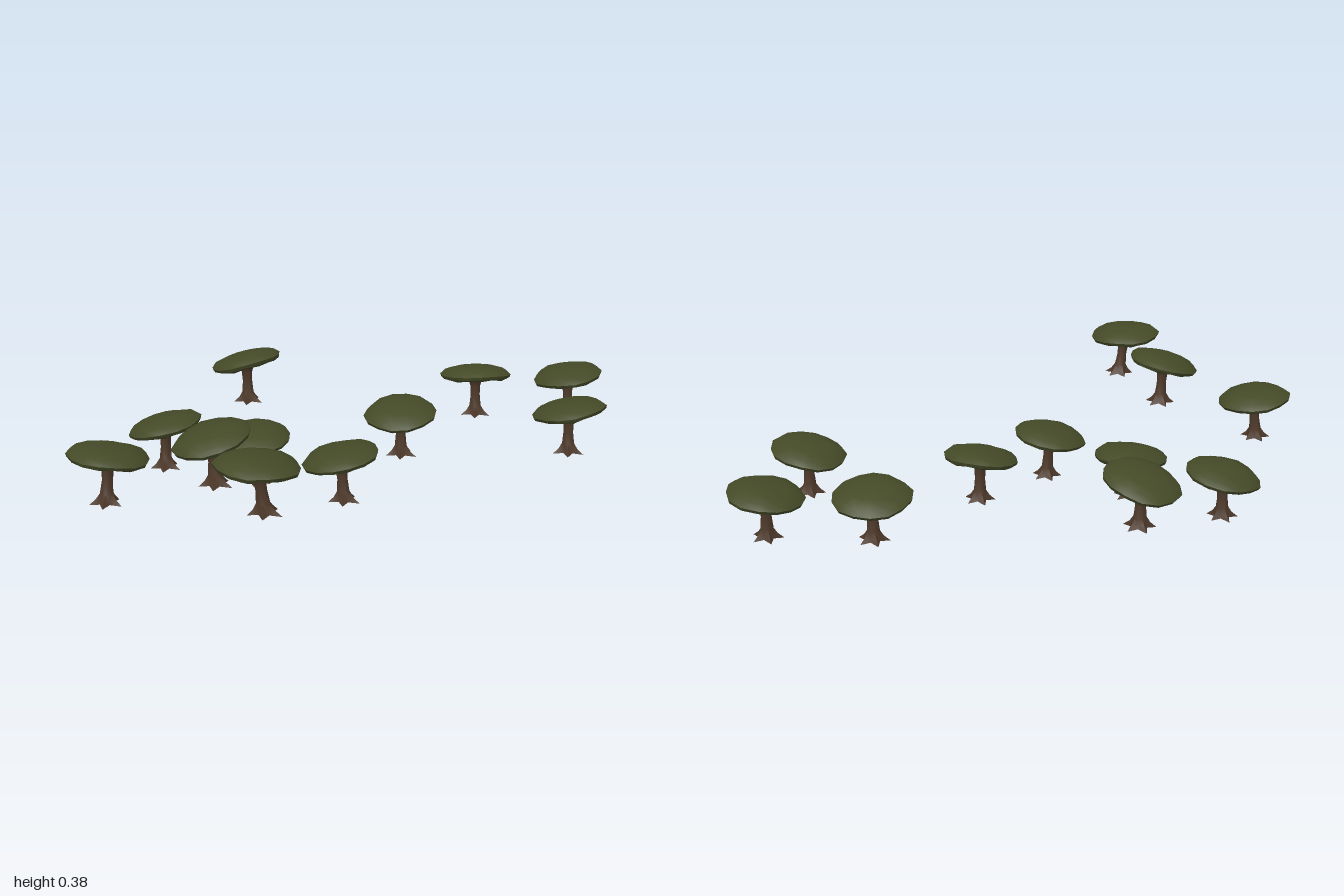
import * as THREE from 'three';
import { mergeVertices, toCreasedNormals } from 'three/addons/utils/BufferGeometryUtils.js';

const leaf = new THREE.MeshStandardMaterial({ color: 0x444a27 });
leaf.name = 'moss green';
const bark = new THREE.MeshStandardMaterial({ color: 0x4f3a2b });
bark.name = 'bark brown';

// Lathe whose vertices are then moved by a rule(point, ring, spoke, angle)
function shapedLathe(profile, segments, crease, rule) {
  const g = new THREE.LatheGeometry(profile.map(p => new THREE.Vector2(...p)), segments);
  const pos = g.attributes.position;
  const p = new THREE.Vector3();
  for (let i = 0; i < pos.count; i++) {
    const ring = i % profile.length;
    const spoke = Math.floor(i / profile.length) % segments;
    p.fromBufferAttribute(pos, i);
    rule(p, ring, spoke, spoke / segments * Math.PI * 2);
    pos.setXYZ(i, p.x, p.y, p.z);
  }
  g.deleteAttribute('uv');
  g.deleteAttribute('normal');
  const merged = mergeVertices(g, 1e-5);
  merged.computeVertexNormals();
  return toCreasedNormals(merged, crease);
}

// Broad flattened canopy: ribbed hollow below, shallow dome above
const capProfile = [
  [0, 0], [0.03, -0.002], [0.065, -0.002], [0.1, -0.017], [0.119, -0.008],
  [0.123, 0.002], [0.106, 0.018], [0.065, 0.03], [0, 0.035],
];
const capGeometry = shapedLathe(capProfile, 14, 0.8, (p, ring, spoke, a) => {
  const wobble = 1 + 0.02 * Math.sin(2 * a + 1) + 0.02 * Math.sin(5 * a);
  p.x *= wobble;
  p.z *= wobble;
  if ((ring === 2 || ring === 1) && spoke % 2) p.y -= 0.01;
  if (ring === 3 && spoke % 2) p.y += 0.004;
  if (ring > 2 && ring < 7) p.y += 0.002 * Math.sin(3 * a + 2);
});

// Trunk with five spreading roots and a flared crown
const trunkProfile = [
  [0, 0.004], [0.026, 0], [0.022, 0.012], [0.019, 0.03],
  [0.0165, 0.07], [0.0185, 0.105], [0.025, 0.125], [0.04, 0.142],
];
const rootSpread = [1, 1.95, 1.5, 1.12, 1, 1, 1, 1];
function trunkGeometry(dx, dz) {
  return shapedLathe(trunkProfile, 10, 1.0, (p, ring, spoke, a) => {
    if (spoke % 2) {
      const s = rootSpread[ring] + (ring === 1 ? 0.15 * Math.sin(2 * a) : 0);
      p.x *= s;
      p.z *= s;
      if (ring === 1) p.y -= 0.005;
    }
    // Bend the foot away from the canopy centre
    const t = 1 - p.y / 0.142;
    p.x += dx * t;
    p.z += dz * t;
  });
}

// x, z, ground height, canopy slope along x and z, foot offset x and z
const trees = [
  [-0.14, -0.573, 0.122, 0.146, 0.25, 0.005, 0],
  [-0.53, -0.385, 0.012, 0.17, 0.15, -0.005, 0.005],
  [-0.33, -0.125, 0.015, 0.1, -0.05, 0, 0.012],
  [-0.875, 0.01, 0.1, -0.14, 0, -0.015, 0.005],
  [-0.64, 0.245, 0.19, 0.25, 0.06, 0.01, 0],
  [-0.64, 0.55, 0.21, -0.08, 0, 0.022, 0],
  [-0.165, 0.16, 0.012, 0.17, 0.09, 0.01, 0.005],
  [0.16, -0.02, 0.047, 0.15, -0.08, 0.005, 0],
  [0.59, -0.22, 0.057, -0.08, 0.17, 0, 0.005],
  [0.88, -0.065, 0.05, 0.14, 0.1, 0, 0.012],
  [0.66, 0.24, 0.05, 0.12, 0.17, 0, 0.005],
];

export function createModel() {
  const grove = new THREE.Group();
  grove.name = 'grove';
  const up = new THREE.Vector3(0, 1, 0);
  trees.forEach(([x, z, y, slopeX, slopeZ, dx, dz], i) => {
    const tree = new THREE.Group();
    tree.name = `tree${i + 1}`;
    tree.position.set(x, y, z);

    const trunk = new THREE.Mesh(trunkGeometry(dx, dz), bark);
    trunk.name = 'trunk';

    const canopy = new THREE.Mesh(capGeometry, leaf);
    canopy.name = 'canopy';
    canopy.position.y = 0.143;
    const normal = new THREE.Vector3(-slopeX, 1, -slopeZ).normalize();
    canopy.quaternion.setFromUnitVectors(up, normal);
    canopy.rotateY(i * 1.3);

    tree.add(trunk, canopy);
    grove.add(tree);
  });
  return grove;
}
